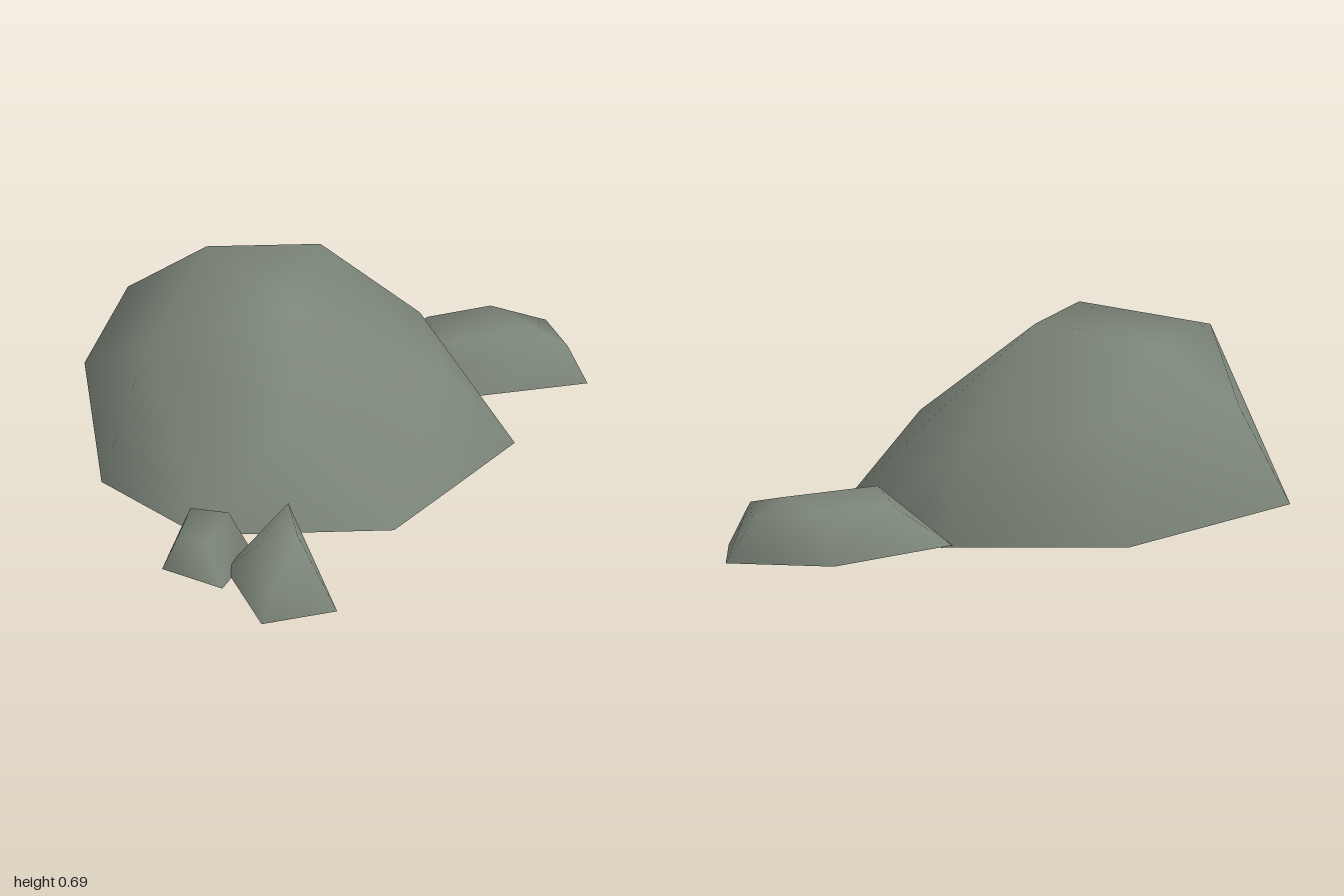
import * as THREE from 'three';
import { mergeVertices } from 'three/addons/utils/BufferGeometryUtils.js';
import { ConvexGeometry } from 'three/addons/geometries/ConvexGeometry.js';

const stone = new THREE.MeshStandardMaterial({ color: 0x7b8478, side: THREE.DoubleSide });
stone.name = 'mossy grey stone';

// Smooth convex shell over a rim and some upper corners, left open underneath
function rock(name, rim, crown) {
  const toVec = (p) => new THREE.Vector3(...p);
  const rimPoints = rim.map(toVec);
  const hull = new ConvexGeometry([...rimPoints, ...crown.map(toVec)]);
  const pos = hull.attributes.position;
  const v = new THREE.Vector3();
  const kept = [];
  for (let i = 0; i < pos.count; i += 3) {
    const corners = [0, 1, 2].map((k) => v.fromBufferAttribute(pos, i + k).clone());
    const underside = corners.every((c) => rimPoints.some((r) => r.distanceTo(c) < 1e-5));
    if (!underside) corners.forEach((c) => kept.push(c.x, c.y, c.z));
  }
  let geometry = new THREE.BufferGeometry();
  geometry.setAttribute('position', new THREE.Float32BufferAttribute(kept, 3));
  geometry = mergeVertices(geometry, 1e-4);
  geometry.computeVertexNormals();
  const mesh = new THREE.Mesh(geometry, stone);
  mesh.name = name;
  return mesh;
}

export function createModel() {
  const group = new THREE.Group();
  group.name = 'rockCluster';

  // Large boulder, its rim lying on a slightly tilted plane
  const boulderRim = [
    [-0.56, -0.78], [0.01, -0.74], [0.43, -0.335], [0.47, -0.12], [0.485, 0.04],
    [0.405, 0.36], [0.04, 0.462], [-0.28, 0.55], [-0.81, 0.27], [-0.905, -0.12],
  ].map(([x, z]) => [x, 0.0845 - 0.076 * x - 0.065 * z, z]);
  group.add(rock('boulder', boulderRim, [
    [-0.31, 0.67, 0.07], [0, 0.69, -0.17], [-0.27, 0.665, -0.43],
    [-0.72, 0.58, -0.11], [-0.49, 0.42, 0.31], [0.06, 0.26, 0.33],
    [0.2, 0.32, 0.25], [0.33, 0.38, -0.05], [0.34, 0.4, -0.35],
    [0, 0.47, -0.6], [-0.44, 0.48, -0.66],
  ]));

  // Low slab leaning against the left side
  group.add(rock('sideSlab',
    [[0.41, 0.09, -0.37], [0.76, 0.055, -0.27], [1, 0.015, 0.01], [0.92, 0, 0.19], [0.42, 0.05, 0.04]],
    [[0.55, 0.205, -0.26], [0.78, 0.208, -0.18], [0.925, 0.16, -0.04],
      [0.8, 0.2, 0], [0.86, 0.15, 0.14], [0.51, 0.204, -0.06], [0.46, 0.14, 0]]));

  // Two small stones at the front right
  group.add(rock('smallStone',
    [[-1, 0.14, 0.36], [-0.84, 0.14, 0.22], [-0.72, 0.11, 0.42], [-0.9, 0.115, 0.52]],
    [[-0.95, 0.238, 0.375], [-0.905, 0.24, 0.455], [-0.78, 0.26, 0.39], [-0.853, 0.26, 0.3]]));
  group.add(rock('frontStone',
    [[-0.9, 0.1, 0.71], [-0.68, 0.08, 0.775], [-0.53, 0.1, 0.4], [-0.57, 0.11, 0.375], [-0.84, 0.12, 0.45]],
    [[-0.85, 0.19, 0.7], [-0.7, 0.265, 0.62], [-0.6, 0.245, 0.44],
      [-0.79, 0.235, 0.55], [-0.545, 0.14, 0.39]]));

  return group;
}
